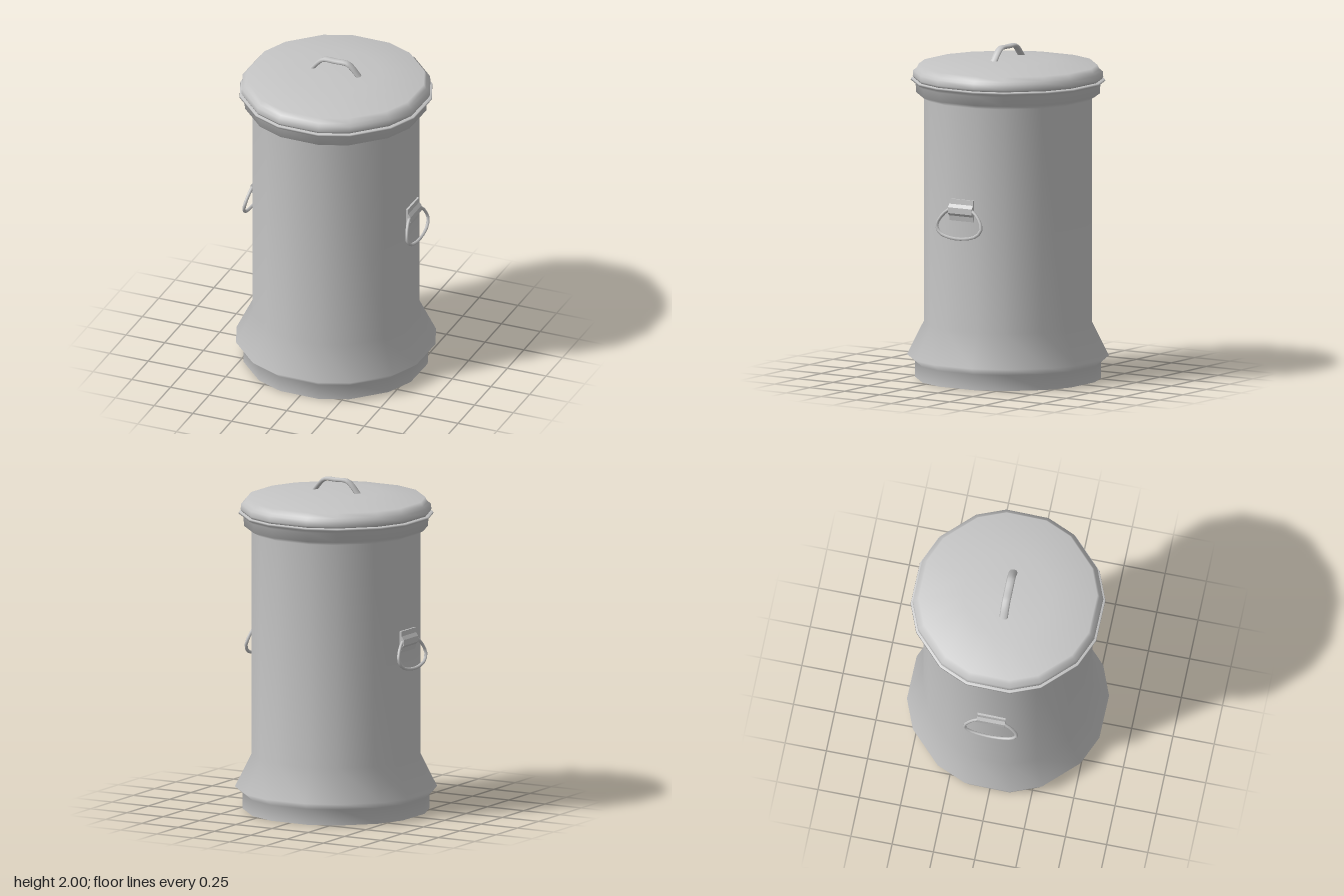
import * as THREE from 'three';

const HALF = THREE.MathUtils.degToRad(13.1); // half angle of the wide facets
const TURN = THREE.MathUtils.degToRad(-0.76);
const V2 = ([x, y]) => new THREE.Vector2(x, y);

// Sixteen-sided lathe with alternating wide and narrow facets; x is the facet distance
function turned(profile) {
  const points = profile.map(([x, y]) => new THREE.Vector2(x / Math.cos(HALF), y));
  const geo = new THREE.LatheGeometry(points, 16, Math.PI / 16);
  const { position, normal } = geo.attributes;
  const p = new THREE.Vector3();
  const up = new THREE.Vector3(0, 1, 0);
  for (let i = 0; i < position.count; i++) {
    const column = Math.floor(i / points.length);
    const angle = TURN + (column % 2 ? -1 : 1) * (HALF - Math.PI / 16);
    for (const attribute of [position, normal]) {
      p.fromBufferAttribute(attribute, i).applyAxisAngle(up, angle);
      attribute.setXYZ(i, p.x, p.y, p.z);
    }
  }
  return geo;
}

export function createModel() {
  const model = new THREE.Group();
  const metal = new THREE.MeshStandardMaterial({ color: 0xc4c4c4, side: THREE.DoubleSide });
  metal.name = 'galvanised grey';

  const add = (name, geometry, parent = model) => {
    const mesh = new THREE.Mesh(geometry, metal);
    mesh.name = name;
    parent.add(mesh);
    return mesh;
  };

  // Open-bottomed can with a flared foot and a stepped rim
  add('body', turned([
    [0.54, 0], [0.54, 0.095], [0.585, 0.135], [0.488, 0.335], [0.488, 1.685],
    [0.533, 1.71], [0.535, 1.765], [0.564, 1.785], [0.562, 1.795], [0.535, 1.795],
  ]));

  // Shallow domed lid
  add('lid', turned([
    [0.5, 1.797], [0.545, 1.797], [0.552, 1.81], [0.55, 1.842],
    [0.53, 1.855], [0.517, 1.882], [0.26, 1.918], [0, 1.92],
  ]));

  // Arched strap on the lid
  const arch = new THREE.CatmullRomCurve3([
    [-0.153, 1.91], [-0.105, 1.965], [-0.075, 1.986], [0, 1.987],
    [0.075, 1.986], [0.105, 1.965], [0.153, 1.91],
  ].map(([x, y]) => new THREE.Vector3(x, y, 0)), false, 'centripetal');
  const strap = add('lidHandle', new THREE.TubeGeometry(arch, 16, 0.013, 8));
  strap.scale.z = 1.95;
  strap.position.z = 0.003;

  // Wave-shaped bracket section, extruded along the wall
  const section = new THREE.Shape([
    [0.48, 1.0], [0.497, 1.0], [0.503, 1.03], [0.517, 1.045], [0.517, 1.08],
    [0.502, 1.1], [0.5, 1.13], [0.48, 1.13],
  ].map(V2));
  const bracket = new THREE.ExtrudeGeometry(section, { depth: 0.17, bevelEnabled: false });
  bracket.translate(0, 0, -0.085);

  // Wire loop leaning out from the wall
  const half = [[0.05, 0.902], [0.13, 0.925], [0.159, 0.965], [0.135, 1.02], [0.085, 1.065], [0.04, 1.078]];
  const loop = [...half, ...half.map(([z, y]) => [-z, y]).reverse()];
  const wire = new THREE.CatmullRomCurve3(
    loop.map(([z, y]) => new THREE.Vector3(0.505 + (1.078 - y) * 0.19, y, z)), true, 'centripetal');
  const ring = new THREE.TubeGeometry(wire, 24, 0.01, 6, true);

  for (const side of ['left', 'right']) {
    const handle = new THREE.Group();
    handle.name = side + 'Handle';
    add(side + 'Bracket', bracket, handle);
    add(side + 'Ring', ring, handle);
    if (side === 'right') handle.rotation.y = Math.PI;
    model.add(handle);
  }
  return model;
}
